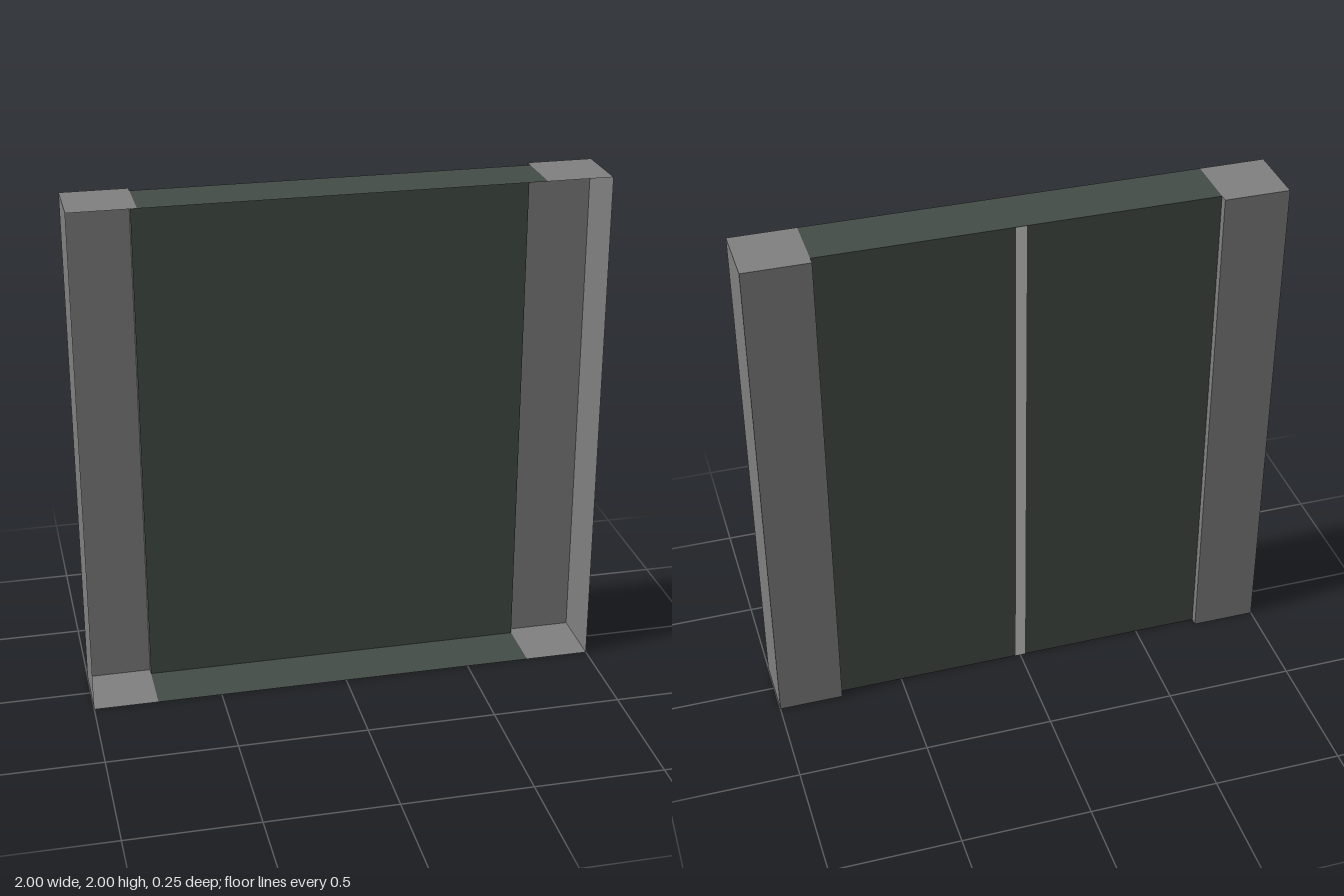
import * as THREE from 'three';

const FACES = ['+x', '-x', '+y', '-y', '+z', '-z'];

// Box spanning min..max that keeps only the listed sides, as an open shell
function openBox(name, min, max, sides, material) {
  const size = max.map((v, i) => v - min[i]);
  const geometry = new THREE.BoxGeometry(...size);
  const all = Array.from(geometry.index.array);
  geometry.setIndex(sides.flatMap((side) => {
    const start = FACES.indexOf(side) * 6;
    return all.slice(start, start + 6);
  }));
  geometry.clearGroups();
  const mesh = new THREE.Mesh(geometry, material);
  mesh.position.set(...max.map((v, i) => (v + min[i]) / 2));
  mesh.name = name;
  return mesh;
}

export function createModel() {
  const paint = (name, color) =>
    new THREE.MeshStandardMaterial({ name, color, side: THREE.DoubleSide });
  const grey = paint('frame grey', 0x808080);
  const green = paint('panel dark green', 0x444d48);
  const pale = paint('stripe pale grey', 0xd4d4d1);

  const H = 2, front = 0.125, back = -0.125, panelBack = -0.094, inner = 0.75;
  const group = new THREE.Group();
  group.name = 'openPanel';

  // Side posts, open at the front and towards the panel
  group.add(
    openBox('leftPost', [inner, 0, back], [1, H, front], ['+x', '+y', '-y', '-z'], grey),
    openBox('rightPost', [-1, 0, back], [-inner, H, front], ['-x', '+y', '-y', '-z'], grey),
  );

  // Narrow returns where the posts step out behind the panel
  group.add(
    openBox('leftReturn', [inner, 0, back], [1, H, panelBack], ['-x'], green),
    openBox('rightReturn', [-1, 0, back], [-inner, H, panelBack], ['+x'], grey),
  );

  // Recessed panel with top and bottom ledges, open at the front
  group.add(openBox('panel', [-inner, 0, panelBack], [inner, H, front], ['+y', '-y', '-z'], green));

  // Vertical stripe down the middle of the back
  group.add(openBox('backStripe', [-0.02, 0, panelBack - 0.002], [0.02, H, panelBack], ['-z'], pale));

  return group;
}
